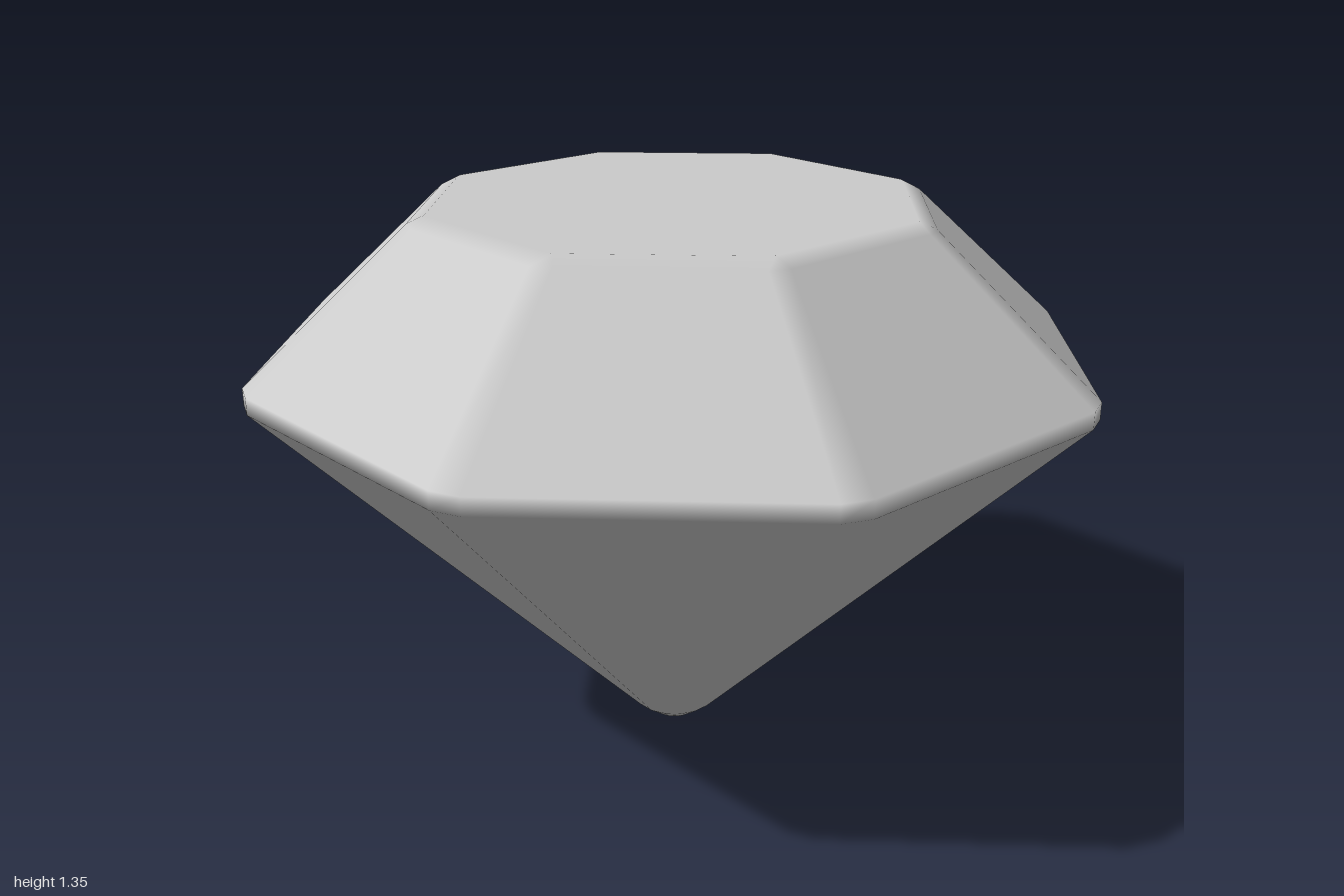
import * as THREE from 'three';

const SIDES = 8;
const HALF = Math.PI / SIDES;

// Height, corner radius and half the bevel width at each corner, from bottom to top.
const RINGS = [
  { y: 0, r: 0.045, cut: 0.006 },      // culet rim
  { y: 0.04, r: 0.1, cut: 0.018 },     // foot of the pavilion facets
  { y: 0.945, r: 1, cut: 0.035 },      // top of the pavilion facets
  { y: 0.985, r: 1, cut: 0.035 },      // foot of the crown facets
  { y: 1.325, r: 0.617, cut: 0.025 },  // top of the crown facets
  { y: 1.345, r: 0.58, cut: 0.006 },   // table rim
];

// Slope of the facet between two rings, as [outward, up] parts of its normal.
function facetSlope(low, high) {
  const apothem = (q) => q.r * Math.cos(HALF) + q.cut * Math.sin(HALF);
  const n = new THREE.Vector2(high.y - low.y, apothem(low) - apothem(high)).normalize();
  return [n.x, n.y];
}

function createGemGeometry() {
  const pavilion = facetSlope(RINGS[1], RINGS[2]);
  const crown = facetSlope(RINGS[3], RINGS[4]);
  const slopes = [[0, -1], pavilion, pavilion, crown, crown, [0, 1]];
  const positions = [], normals = [], index = [];
  const count = SIDES * 2;

  // Two points per corner, each with the normal of its own facet:
  // facets stay flat and the narrow bevels between them blend smoothly.
  RINGS.forEach(({ y, r, cut }, level) => {
    const [out, up] = slopes[level];
    for (let k = 0; k < SIDES; k++) {
      const a = k * HALF * 2, c = Math.cos(a), s = Math.sin(a);
      for (const side of [-1, 1]) {
        positions.push(r * c - side * cut * s, y, r * s + side * cut * c);
        const facet = a + side * HALF;
        normals.push(out * Math.cos(facet), up, out * Math.sin(facet));
      }
    }
  });

  // Bands between neighbouring rings
  for (let level = 0; level < RINGS.length - 1; level++) {
    for (let i = 0; i < count; i++) {
      const a = level * count + i, b = level * count + (i + 1) % count;
      index.push(a, a + count, b, b, a + count, b + count);
    }
  }

  // Flat culet below and table above
  const bottom = positions.length / 3, top = bottom + 1;
  positions.push(0, 0, 0, 0, RINGS[5].y, 0);
  normals.push(0, -1, 0, 0, 1, 0);
  const last = (RINGS.length - 1) * count;
  for (let i = 0; i < count; i++) {
    const j = (i + 1) % count;
    index.push(bottom, i, j, top, last + j, last + i);
  }

  const geometry = new THREE.BufferGeometry();
  geometry.setAttribute('position', new THREE.Float32BufferAttribute(positions, 3));
  geometry.setAttribute('normal', new THREE.Float32BufferAttribute(normals, 3));
  geometry.setIndex(index);
  return geometry;
}

export function createModel() {
  const group = new THREE.Group();
  group.name = 'gem';
  const stone = new THREE.Mesh(
    createGemGeometry(),
    new THREE.MeshStandardMaterial({ color: 0xcccccc })
  );
  stone.name = 'cutStone';
  group.add(stone);
  return group;
}
